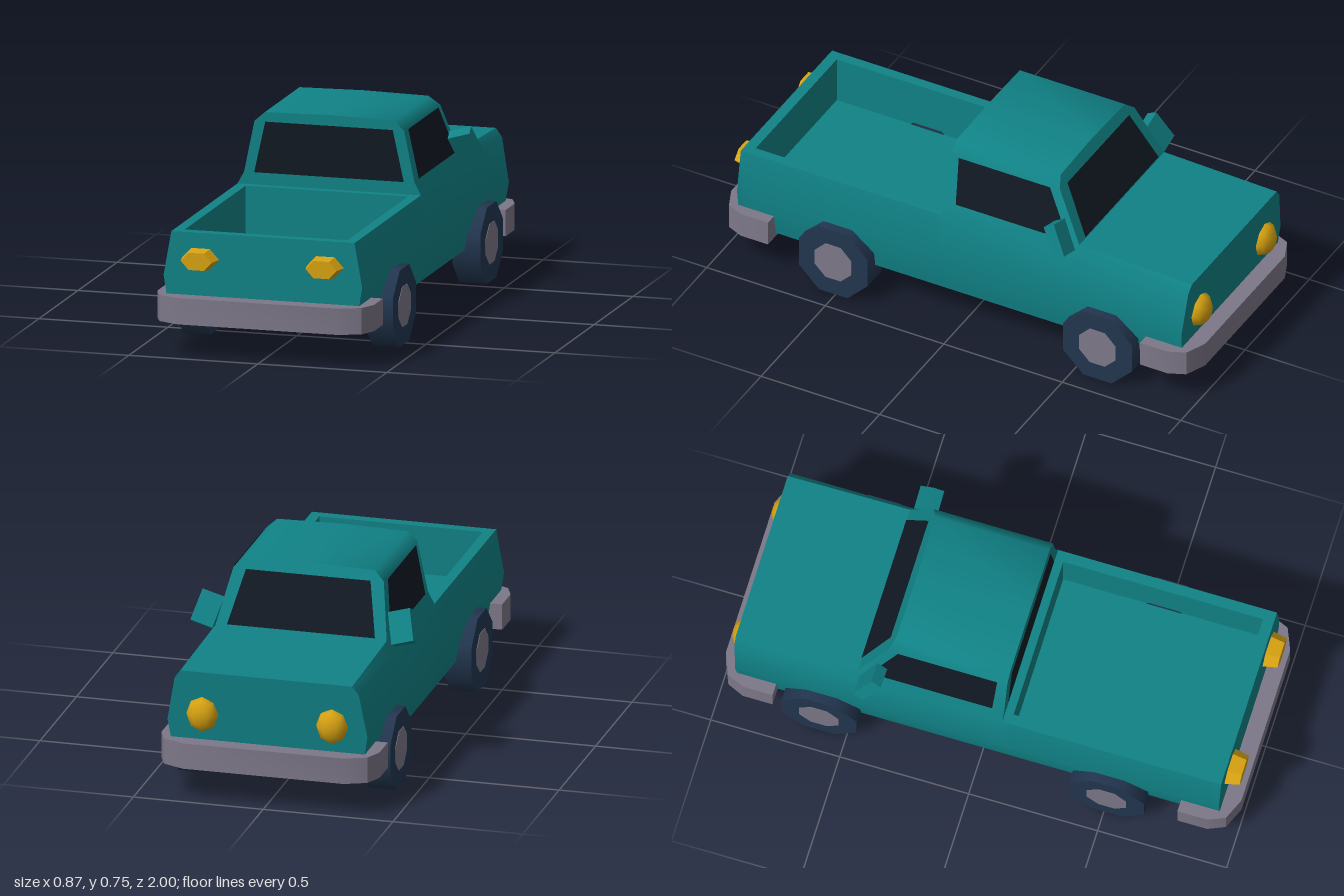
import * as THREE from 'three';
import { toCreasedNormals } from 'three/addons/utils/BufferGeometryUtils.js';

const paint = new THREE.MeshStandardMaterial({ color: 0x108286 });
const rubber = new THREE.MeshStandardMaterial({ color: 0x22364f });
const metal = new THREE.MeshStandardMaterial({ color: 0x7d7889 });
const amber = new THREE.MeshStandardMaterial({ color: 0xd8a312 });
const glass = new THREE.MeshStandardMaterial({ color: 0x121923, side: THREE.DoubleSide });

function add(parent, name, geometry, material, x = 0, y = 0, z = 0) {
  const mesh = new THREE.Mesh(geometry, material);
  mesh.name = name;
  mesh.position.set(x, y, z);
  parent.add(mesh);
  return mesh;
}

function geometryFrom(triangles) {
  const geometry = new THREE.BufferGeometry();
  geometry.setAttribute('position', new THREE.Float32BufferAttribute(triangles.flat(), 3));
  geometry.computeVertexNormals();
  return geometry;
}

// Joins closed rings of equal point count, ordered from +z to -z, and caps the ends
function loft(rings) {
  const out = [];
  const v = (p) => new THREE.Vector3(...p);
  const tri = (a, b, c) => {
    const area = v(b).sub(v(a)).cross(v(c).sub(v(a))).length();
    if (area > 1e-7) out.push(a, b, c);
  };
  const n = rings[0].length;
  for (let k = 0; k < rings.length - 1; k++) {
    for (let i = 0; i < n; i++) {
      const j = (i + 1) % n;
      const [a, b, c, d] = [rings[k][i], rings[k][j], rings[k + 1][i], rings[k + 1][j]];
      tri(a, c, b);
      tri(b, c, d);
    }
  }
  const first = rings[0], last = rings[rings.length - 1];
  for (let i = 0; i < (n - 1) / 2; i++) {
    const j = n - 1 - i;
    tri(first[i], first[i + 1], first[j - 1]);
    tri(first[i], first[j - 1], first[j]);
    tri(last[i], last[j - 1], last[i + 1]);
    tri(last[i], last[j], last[j - 1]);
  }
  return geometryFrom(out);
}

// Lower body section shared by all rings, plus an upper part; z may depend on height
function ring(upper, zAt) {
  const half = [[0.36, 0.145], [0.385, 0.3], [0.355, 0.468], ...upper];
  const points = [...half, ...half.slice(0, -1).reverse().map(([x, y]) => [-x, y])];
  return points.map(([x, y]) => [x, y, zAt(y)]);
}

const slope = (y) => -0.48 + 0.532 * (y - 0.515); // windshield plane

function buildBody() {
  const rim = [[0.315, 0.468], [0.315, 0.468], [0.25, 0.468], [0, 0.468]];
  const well = [[0.315, 0.468], [0.315, 0.28], [0.25, 0.28], [0, 0.28]];
  const cab = [[0.33, 0.515], [0.29, 0.71], [0.25, 0.745], [0, 0.75]];
  const cowl = [[0.33, 0.515], [0.33, 0.515], [0.27, 0.515], [0, 0.515]];
  const nose = [[0.33, 0.5], [0.33, 0.5], [0.27, 0.5], [0, 0.5]];
  const at = (z) => () => z;
  const rings = [
    ring(rim, at(0.935)), ring(rim, at(0.893)),
    ring(well, at(0.893)), ring(well, at(0.118)),
    ring(rim, at(0.118)), ring(rim, at(0.086)),
    ring(cab, at(0.086)),
    ring(cab, (y) => (y < 0.6 ? -0.36 : slope(y))),
    ring(cowl, at(-0.48)),
    ring(nose, (y) => -0.93 - 0.07 * Math.max(0, y - 0.145)),
  ];
  return toCreasedNormals(loft(rings), 0.75);
}

// Flat four-cornered pane
const pane = (a, b, c, d) => geometryFrom([a, b, c, a, c, d]);

// Solid bumper outlined in plan, nose towards +z
function bumperGeometry() {
  const half = [[0.42, 0.785], [0.42, 0.9], [0.392, 0.965], [0.31, 1]];
  const outline = [...half, ...half.map(([x, z]) => [-x, z]).reverse()];
  const shape = new THREE.Shape(outline.map(([x, z]) => new THREE.Vector2(x, -z)));
  const geometry = new THREE.ExtrudeGeometry(shape, { depth: 0.1, bevelEnabled: false });
  geometry.rotateX(-Math.PI / 2);
  return toCreasedNormals(geometry, 0.75);
}

function buildWheel(side) {
  const wheel = new THREE.Group();
  wheel.name = 'wheel';
  const octagon = (radius, width) =>
    new THREE.CylinderGeometry(radius, radius, width, 8).rotateZ(Math.PI / 2).rotateX(Math.PI / 8);
  add(wheel, 'tire', octagon(0.157, 0.107), rubber);
  add(wheel, 'hub', octagon(0.083, 0.02), metal, side * 0.0455);
  return wheel;
}

export function createModel() {
  const truck = new THREE.Group();
  truck.name = 'pickupTruck';
  add(truck, 'body', buildBody(), paint);

  // Windows
  add(truck, 'bedWindow', pane([-0.29, 0.515, 0.09], [0.29, 0.515, 0.09],
    [0.247, 0.71, 0.09], [-0.247, 0.71, 0.09]), glass);
  const low = slope(0.522) - 0.005, high = slope(0.71) - 0.005;
  add(truck, 'windshield', pane([0.285, 0.522, low], [-0.285, 0.522, low],
    [-0.24, 0.71, high], [0.24, 0.71, high]), glass);
  for (const s of [1, -1]) {
    const corners = [[s * 0.333, 0.52, 0.04], [s * 0.333, 0.52, -0.435],
      [s * 0.295, 0.708, -0.337], [s * 0.295, 0.708, 0.048]];
    add(truck, 'sideWindow', pane(...(s > 0 ? corners : corners.reverse())), glass);
  }

  // Bumpers at both ends
  const bumper = bumperGeometry();
  add(truck, 'bedBumper', bumper, metal, 0, 0.13, 0);
  add(truck, 'noseBumper', bumper, metal, 0, 0.13, 0).rotation.y = Math.PI;

  // Tapered hexagonal lamps on the tailgate, domed lamps on the nose
  const hexLamp = new THREE.CylinderGeometry(0.06, 0.073, 0.06, 6).toNonIndexed();
  hexLamp.rotateY(Math.PI / 2).rotateX(Math.PI / 2).scale(1, 0.63, 1);
  hexLamp.computeVertexNormals();
  const domeLamp = new THREE.SphereGeometry(1, 8, 6).rotateX(Math.PI / 2).scale(0.062, 0.07, 0.048);

  for (const s of [1, -1]) {
    add(truck, 'bedLamp', hexLamp, amber, s * 0.242, 0.37, 0.96);
    add(truck, 'noseLamp', domeLamp, amber, s * 0.25, 0.333, -0.942);

    // Wing mirrors lean back with the windshield
    const mirror = add(truck, 'wingMirror', new THREE.BoxGeometry(0.088, 0.125, 0.045), paint,
      s * 0.375, 0.553, -0.42);
    mirror.rotation.set(0.5, 0, s * 0.28, 'ZXY');

    for (const z of [0.51, -0.605]) {
      const wheel = buildWheel(s);
      wheel.position.set(s * 0.3665, 0.145, z);
      truck.add(wheel);
    }
  }
  return truck;
}
